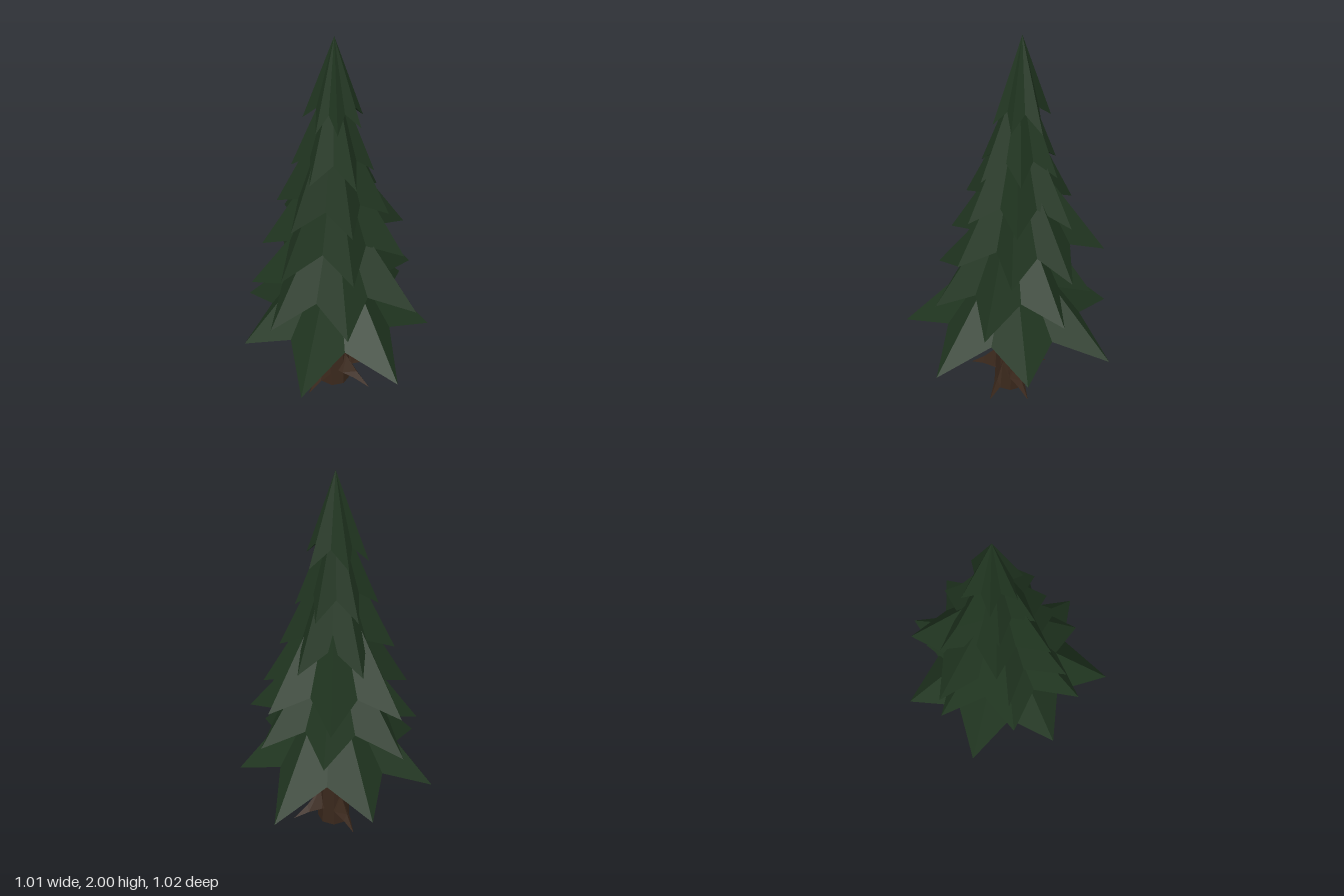
import * as THREE from 'three';

const foliage = new THREE.MeshStandardMaterial({ color: 0x203520, flatShading: true });
foliage.name = 'dark green needles';
const bark = new THREE.MeshStandardMaterial({ color: 0x3a281c, flatShading: true });
bark.name = 'brown bark';

// Faceted mesh from a list of triangles, each three [x, y, z] corners
function facetMesh(name, triangles, material) {
  const g = new THREE.BufferGeometry();
  g.setAttribute('position', new THREE.Float32BufferAttribute(triangles.flat(2), 3));
  g.computeVertexNormals();
  const mesh = new THREE.Mesh(g, material);
  mesh.name = name;
  return mesh;
}

// Star-shaped skirt: ridges run to drooping tips [x, y, z], valleys sit higher between them
function branchTier(name, { apex, valleyY, tips }) {
  const n = tips.length;
  const cx = tips.reduce((s, t) => s + t[0], 0) / n;
  const cz = tips.reduce((s, t) => s + t[2], 0) / n;
  const rim = [];
  tips.forEach((tip, i) => {
    const next = tips[(i + 1) % n];
    const x = (tip[0] + next[0]) / 2, z = (tip[2] + next[2]) / 2;
    rim.push(tip, [cx + 0.7 * (x - cx), valleyY, cz + 0.7 * (z - cz)]);
  });
  const under = [cx, valleyY + 0.06, cz];
  const tris = [];
  rim.forEach((p, i) => {
    const q = rim[(i + 1) % rim.length];
    tris.push([apex, q, p], [under, p, q]);
  });
  return facetMesh(name, tris, foliage);
}

// Tiers from bottom to top
const TIERS = [
  { apex: [-0.03, 0.98, -0.02], valleyY: 0.485,
    tips: [[0.505, 0.363, -0.16], [0.345, 0.38, 0.27], [-0.045, 0.363, 0.51], [-0.48, 0.375, 0.31],
      [-0.51, 0.395, -0.15], [-0.26, 0.36, -0.5], [0.19, 0.398, -0.51]] },
  { apex: [-0.03, 1.24, -0.03], valleyY: 0.73,
    tips: [[0.385, 0.64, 0.055], [0.165, 0.63, 0.38], [-0.22, 0.615, 0.335], [-0.48, 0.625, 0.06],
      [-0.36, 0.63, -0.295], [-0.04, 0.64, -0.49], [0.28, 0.63, -0.27]] },
  { apex: [-0.02, 1.5, -0.04], valleyY: 0.965,
    tips: [[0.38, 0.87, 0], [0.2, 0.87, 0.23], [-0.13, 0.86, 0.26], [-0.395, 0.875, 0.04],
      [-0.3, 0.87, -0.27], [-0.03, 0.87, -0.475], [0.3, 0.87, -0.335]] },
  { apex: [-0.015, 1.7, -0.05], valleyY: 1.19,
    tips: [[0.28, 1.09, -0.1], [0.16, 1.1, 0.15], [-0.1, 1.1, 0.21], [-0.31, 1.11, 0.01],
      [-0.21, 1.1, -0.26], [0.085, 1.09, -0.33]] },
  { apex: [-0.01, 1.84, -0.055], valleyY: 1.42,
    tips: [[0.175, 1.325, -0.11], [0.12, 1.33, 0.08], [-0.05, 1.33, 0.17], [-0.2, 1.33, 0.01],
      [-0.165, 1.33, -0.19], [0.04, 1.33, -0.255]] },
  { apex: [-0.004, 2, -0.06], valleyY: 1.655,
    tips: [[0.143, 1.565, -0.04], [0.05, 1.58, 0.07], [-0.075, 1.58, 0.06], [-0.13, 1.56, -0.035],
      [-0.1, 1.57, -0.18], [0.05, 1.58, -0.2]] },
];

// Root: triangular sections shrinking outward to a point; [radius, top y, low y, half width]
function root(angle, reach) {
  const sections = [[0.04, 0.25, 0.1, 0.045], [0.085, 0.19, 0.095, 0.038], [0.15, 0.115, 0.08, 0.02], [reach, 0.05, 0.048, 0.001]];
  const rings = sections.map(([r, top, low, w]) => [[r, top, 0], [r, low, w], [r, low, -w]]);
  const tris = [];
  for (let s = 0; s < rings.length - 1; s++) {
    for (let i = 0; i < 3; i++) {
      const j = (i + 1) % 3, a = rings[s], b = rings[s + 1];
      tris.push([a[i], a[j], b[i]], [a[j], b[j], b[i]]);
    }
  }
  const mesh = facetMesh('root', tris, bark);
  mesh.position.set(-0.045, 0, -0.02);
  mesh.rotation.y = -angle * Math.PI / 180;
  return mesh;
}

export function createModel() {
  const tree = new THREE.Group();
  tree.name = 'pineTree';

  // Slightly leaning tapered trunk
  const g = new THREE.CylinderGeometry(0.062, 0.084, 0.75, 8);
  g.translate(0, 0.375, 0);
  const p = g.attributes.position;
  for (let i = 0; i < p.count; i++) {
    p.setX(i, p.getX(i) - 0.045 + 0.02 * p.getY(i));
    p.setZ(i, p.getZ(i) - 0.02 - 0.015 * p.getY(i));
  }
  g.computeVertexNormals();
  const trunk = new THREE.Mesh(g, bark);
  trunk.name = 'trunk';
  tree.add(trunk);

  // Four unevenly spaced roots around the base
  const roots = new THREE.Group();
  roots.name = 'roots';
  [[162, 0.225], [74, 0.23], [23, 0.225], [-72, 0.22]].forEach(([a, r]) => roots.add(root(a, r)));
  tree.add(roots);

  // Stacked branch tiers
  const branches = new THREE.Group();
  branches.name = 'branches';
  TIERS.forEach((t, i) => branches.add(branchTier('branchTier' + (i + 1), t)));
  tree.add(branches);
  return tree;
}
